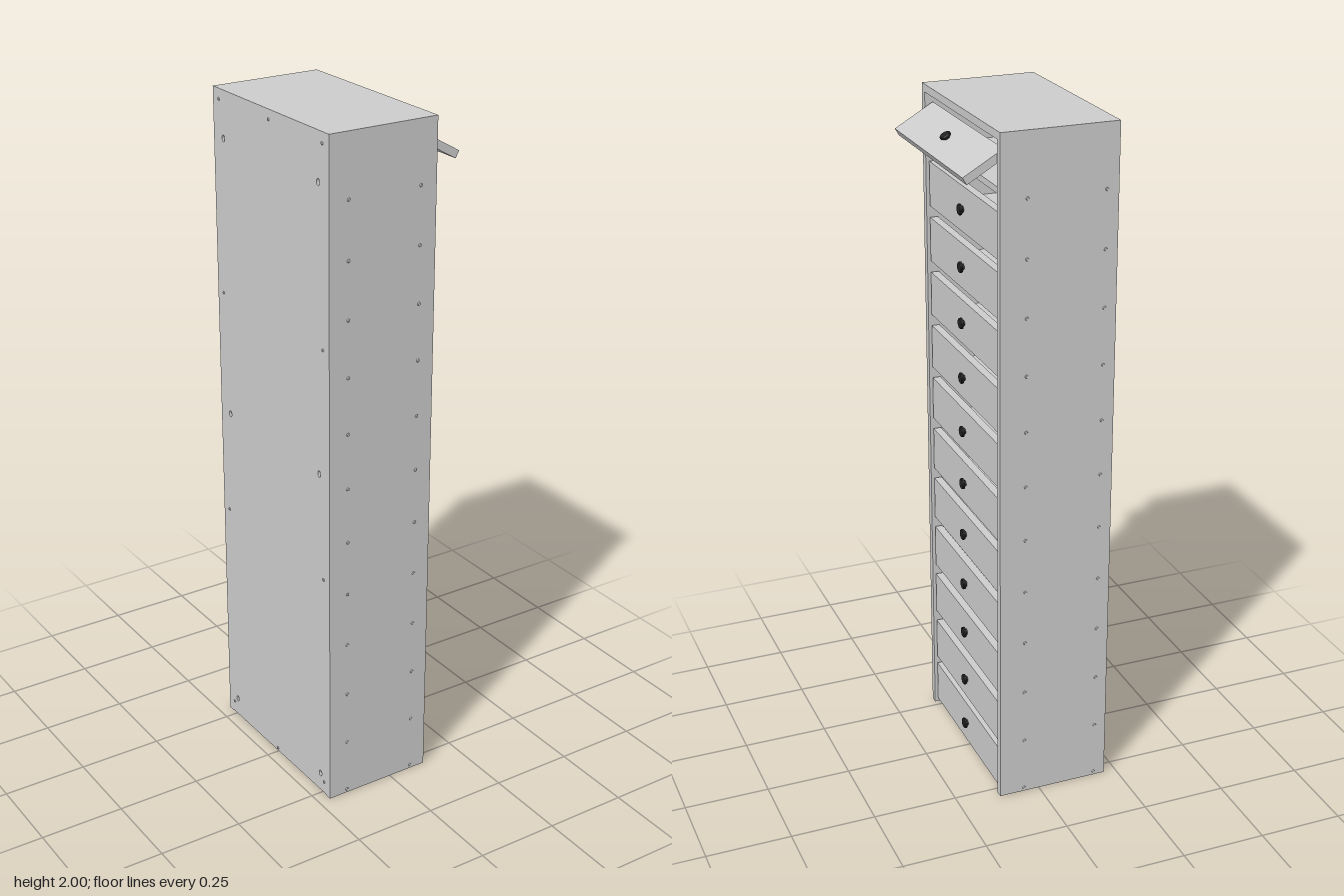
import * as THREE from 'three';

const grey = new THREE.MeshStandardMaterial({ color: 0xcccccc });
const black = new THREE.MeshStandardMaterial({ color: 0x222222 });

// Main dimensions
const BACK = -0.213, FRONT = 0.123, HEIGHT = 2, HALF = 0.291, BOARD = 0.022;
const PITCH = 0.1645, SHELVES = 12;
const DOOR = { height: 0.13, width: 0.526, thick: 0.023, front: 0.115 };
const shelfY = (i) => 0.011 + PITCH * i;

function add(parent, name, geometry, material = grey) {
  const mesh = new THREE.Mesh(geometry, material);
  mesh.name = name;
  parent.add(mesh);
  return mesh;
}

// Box given by its minimum and maximum corners
function board(parent, name, x0, x1, y0, y1, z0, z1) {
  const mesh = add(parent, name, new THREE.BoxGeometry(x1 - x0, y1 - y0, z1 - z0));
  mesh.position.set((x0 + x1) / 2, (y0 + y1) / 2, (z0 + z1) / 2);
}

// Door hanging from its top outer edge, with a round knob on the outside (+x)
function makeDoor(name) {
  const door = new THREE.Group();
  door.name = name;
  board(door, 'doorPanel', -DOOR.thick, 0, -DOOR.height, 0, -DOOR.width / 2, DOOR.width / 2);
  const profile = [[0, 0], [0.009, 0], [0.009, 0.005], [0.016, 0.006], [0.016, 0.011], [0.014, 0.013], [0, 0.013]]
    .map(([r, h]) => new THREE.Vector2(r, h));
  const knobGeometry = new THREE.LatheGeometry(profile, 24).toNonIndexed();
  knobGeometry.computeVertexNormals();
  const knob = add(door, 'knob', knobGeometry, black);
  knob.rotation.z = -Math.PI / 2;
  knob.position.y = -DOOR.height / 2;
  return door;
}

// Back board with mounting holes
function makeBack() {
  const w = HALF - BOARD, shape = new THREE.Shape();
  shape.moveTo(-w, 0.003).lineTo(w, 0.003).lineTo(w, HEIGHT - BOARD).lineTo(-w, HEIGHT - BOARD).closePath();
  for (const z of [-0.24, 0.24]) {
    for (const y of [0.06, 1.04, 1.864]) {
      const hole = new THREE.Path();
      hole.absellipse(z, y, 0.007, 0.01, 0, Math.PI * 2, true);
      shape.holes.push(hole);
    }
  }
  const geometry = new THREE.ExtrudeGeometry(shape, { depth: 0.012, bevelEnabled: false, curveSegments: 12 });
  return geometry.rotateY(-Math.PI / 2).translate(BACK + 0.012, 0, 0);
}

export function createModel() {
  const model = new THREE.Group();
  model.name = 'cabinet';

  // Carcass
  board(model, 'sideLeft', BACK, FRONT, 0, HEIGHT, HALF - BOARD, HALF);
  board(model, 'sideRight', BACK, FRONT, 0, HEIGHT, -HALF, -HALF + BOARD);
  const inner = HALF - BOARD;
  board(model, 'top', BACK, FRONT, HEIGHT - BOARD, HEIGHT, -inner, inner);
  add(model, 'backBoard', makeBack());

  // Shelves behind the doors
  for (let i = 0; i < SHELVES; i++) {
    const y = shelfY(i);
    board(model, 'shelf', BACK + 0.012, DOOR.front - DOOR.thick, y - 0.009, y + 0.009, -inner, inner);
  }

  // Closed doors, leaving a slot above each one
  for (let i = 0; i < SHELVES - 1; i++) {
    const door = makeDoor('door');
    const bottom = i === 0 ? 0.016 : shelfY(i) - 0.004;
    door.position.set(DOOR.front, bottom + DOOR.height, 0);
    model.add(door);
  }

  // Top door, swung up
  const openDoor = makeDoor('openDoor');
  openDoor.position.set(0.102, 1.95, 0);
  openDoor.rotation.z = Math.PI / 3;
  model.add(openDoor);

  // Screw heads on the sides and the back
  const screwGeometry = new THREE.CylinderGeometry(0.0035, 0.0055, 0.004, 12);
  function screw(x, y, z, rx, rz) {
    const mesh = add(model, 'screw', screwGeometry);
    mesh.position.set(x, y, z);
    mesh.rotation.set(rx, 0, rz);
  }
  for (let i = 0; i < SHELVES; i++) {
    for (const x of [-0.153, 0.073]) screw(x, shelfY(i), HALF + 0.001, Math.PI / 2, 0);
    for (const x of [-0.178, 0.047]) screw(x, shelfY(i), -HALF - 0.001, -Math.PI / 2, 0);
  }
  for (const y of [0.04, 0.72, 1.41, 1.97]) {
    for (const z of [-0.26, 0.26]) screw(BACK - 0.0005, y, z, 0, Math.PI / 2);
  }
  for (const y of [0.012, 1.972]) screw(BACK - 0.0005, y, 0, 0, Math.PI / 2);

  return model;
}
